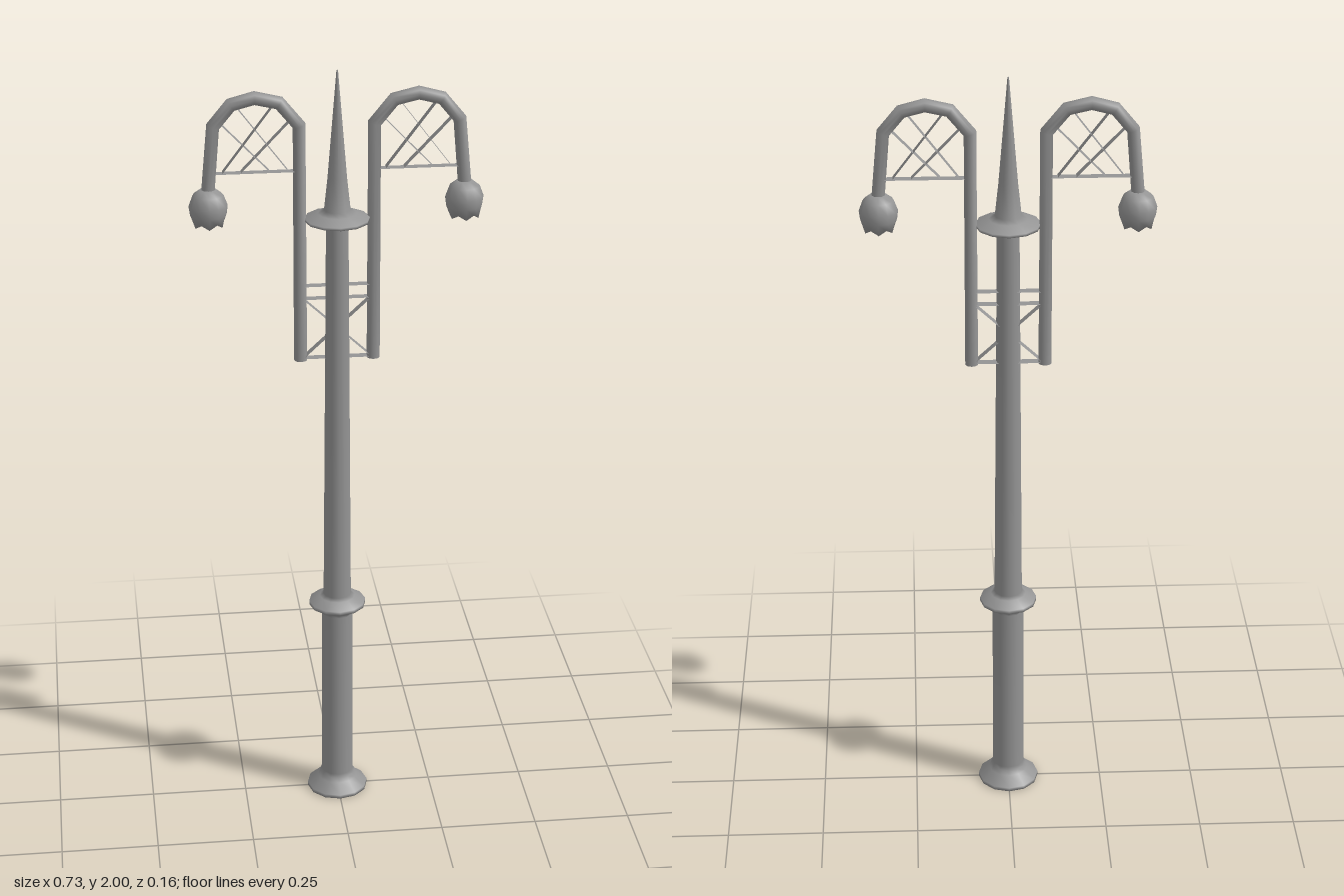
import * as THREE from 'three';

const grey = new THREE.MeshStandardMaterial({ color: 0x949494, side: THREE.DoubleSide });
const ARM_Z = -0.007;

function addMesh(parent, name, geometry) {
  const mesh = new THREE.Mesh(geometry, grey);
  mesh.name = name;
  parent.add(mesh);
  return mesh;
}

const lathe = (profile) =>
  new THREE.LatheGeometry(profile.map(([r, y]) => new THREE.Vector2(r, y)), 12);

// Angular path: one tube ring per corner
class Polyline extends THREE.Curve {
  constructor(points) {
    super();
    this.points = points;
  }
  getPointAt(u) {
    return this.points[Math.round(u * (this.points.length - 1))].clone();
  }
  getTangentAt(u) {
    const p = this.points, n = p.length - 1, i = Math.round(u * n);
    const t = new THREE.Vector3();
    if (i > 0) t.add(p[i].clone().sub(p[i - 1]).normalize());
    if (i < n) t.add(p[i + 1].clone().sub(p[i]).normalize());
    return t.normalize();
  }
}

// Flat strip between two points of the arm plane, seen edge-on from the front
function addStrip(parent, name, [x1, y1], [x2, y2]) {
  const dx = x2 - x1, dy = y2 - y1;
  const geometry = new THREE.PlaneGeometry(Math.hypot(dx, dy), 0.024).rotateX(-Math.PI / 2);
  const strip = addMesh(parent, name, geometry);
  strip.position.set((x1 + x2) / 2, (y1 + y2) / 2, 0);
  strip.rotation.z = Math.atan2(dy, dx);
}

// Lamp head with a scalloped lower rim closed by a shallow glass
function createLamp() {
  const lamp = lathe([
    [0, 1.627], [0.02, 1.624], [0.038, 1.615], [0.045, 1.645], [0.048, 1.667],
    [0.038, 1.694], [0.02, 1.708], [0, 1.708],
  ]);
  const pos = lamp.attributes.position;
  for (let i = 0; i < pos.count; i++) {
    const side = Math.round(Math.atan2(pos.getX(i), pos.getZ(i)) / (Math.PI / 6));
    if (pos.getY(i) < 1.62 && side % 2) pos.setY(i, 1.626);
  }
  return lamp;
}

function createArm(s) {
  const arm = new THREE.Group();
  arm.name = s > 0 ? 'leftArm' : 'rightArm';
  const path = [
    [0.092, 1.25], [0.092, 1.862], [0.14, 1.92], [0.2, 1.934],
    [0.257, 1.919], [0.301, 1.866], [0.316, 1.7],
  ].map(([x, y]) => new THREE.Vector3(s * x, y, 0));
  addMesh(arm, 'armTube', new THREE.TubeGeometry(new Polyline(path), path.length - 1, 0.0168, 10));
  const cap = addMesh(arm, 'armEnd', new THREE.CircleGeometry(0.0168, 10));
  cap.rotation.x = Math.PI / 2;
  cap.position.set(s * 0.092, 1.25, 0);

  // Lattice inside the bend
  addStrip(arm, 'latticeChord', [s * 0.1, 1.748], [s * 0.307, 1.748]);
  for (const m of [-1, 1]) {
    const x = (d) => s * (0.2 + m * d);
    addStrip(arm, 'latticeBrace', [x(-0.045), 1.915], [x(0.08), 1.75]);
    addStrip(arm, 'latticeBrace', [x(-0.085), 1.875], [x(0.035), 1.75]);
  }

  addMesh(arm, 'lamp', createLamp()).position.x = s * 0.316;
  return arm;
}

export function createModel() {
  const model = new THREE.Group();
  model.name = 'streetLamp';

  // Post turned in one piece: foot, lower shaft, collar, upper shaft, top collar, spike
  addMesh(model, 'post', lathe([
    [0, 0], [0.08, 0], [0.08, 0.01], [0.052, 0.032], [0.047, 0.045], [0.042, 0.053],
    [0.041, 0.53], [0.046, 0.54], [0.074, 0.556], [0.074, 0.566], [0.046, 0.58], [0.036, 0.587],
    [0.028, 1.6], [0.045, 1.608], [0.081, 1.619], [0.081, 1.626], [0.048, 1.638], [0.033, 1.647],
    [0.024, 1.73], [0.002, 1.998], [0, 2],
  ]));

  // Arms and the bracing that ties them to the post
  const arms = new THREE.Group();
  arms.name = 'arms';
  arms.position.z = ARM_Z;
  for (const s of [-1, 1]) {
    arms.add(createArm(s));
    addStrip(arms, 'crossBrace', [-0.085 * s, 1.256], [0.085 * s, 1.414]);
  }
  for (const y of [1.255, 1.414, 1.448]) addStrip(arms, 'crossBar', [-0.085, y], [0.085, y]);
  model.add(arms);

  return model;
}
